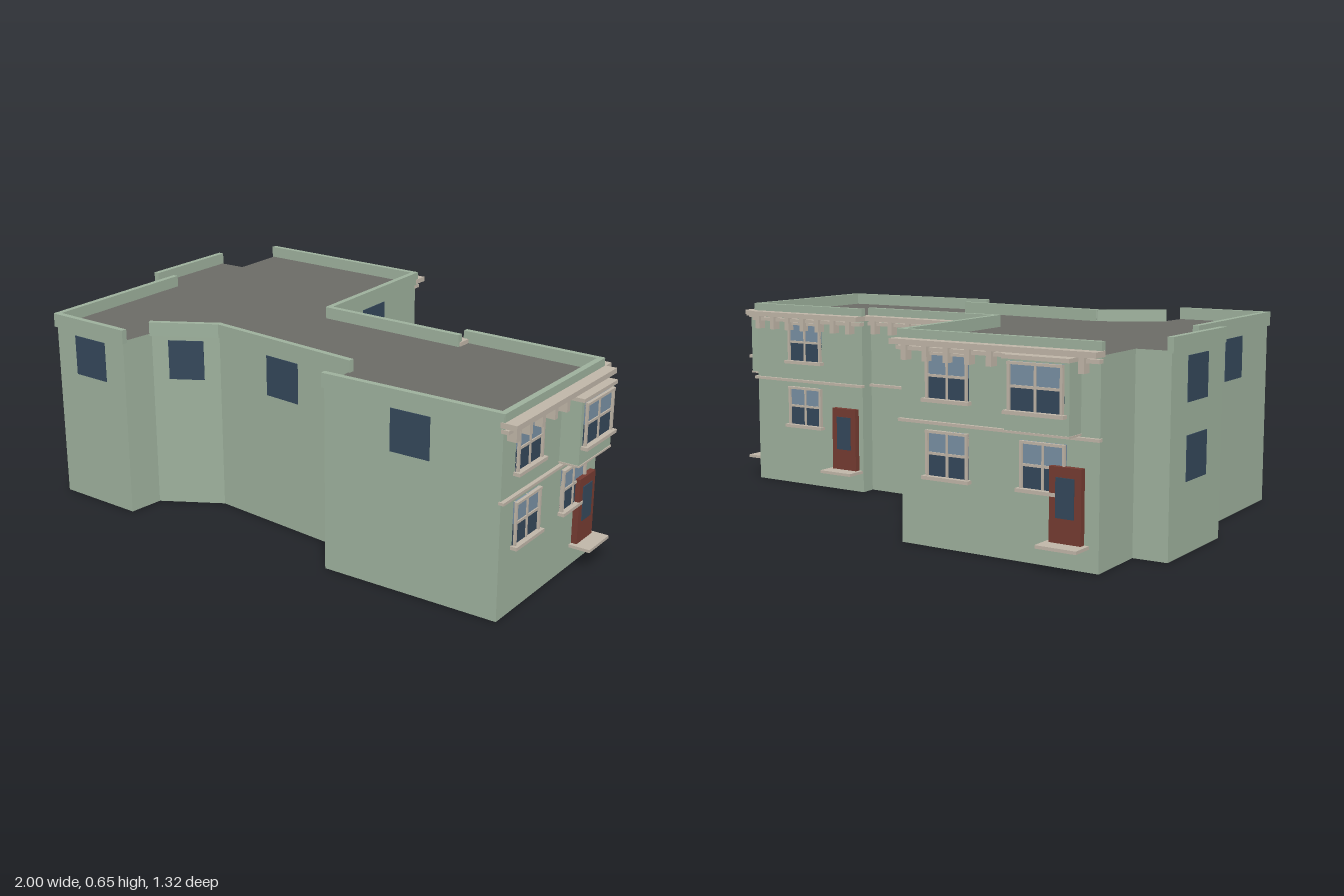
import * as THREE from 'three';

const mat = (color) => new THREE.MeshStandardMaterial({ color });
const M = {
  wall: mat(0x9db09c), roof: mat(0x6b6b66), trim: mat(0xbfb5a7),
  glass: mat(0x34475a), sky: mat(0x788fa2), door: mat(0x743b31),
};
const ROOF = 0.615, TOP = 0.655;

// Footprint corners as [x, z], going round so that each wall runs left to right seen from outside
const P = {
  F: [0.95, 0.34], E: [0.86, -0.255], D2: [0.375, -0.187], D: [0.385, -0.133], C: [-0.14, -0.062],
  B: [-0.24, -0.615], A: [-0.915, -0.522], P: [-0.88, -0.31], O: [-0.99, -0.29], N: [-0.935, 0.068],
  M: [-0.85, 0.055], L: [-0.75, 0.648], K: [-0.435, 0.608], J: [-0.44, 0.485], I: [-0.26, 0.34],
  H: [0.315, 0.305], G: [0.345, 0.445],
};

// Box centred on x, standing on y, with its back on z
function box(parent, name, m, x, y, z, w, h, d) {
  const mesh = new THREE.Mesh(new THREE.BoxGeometry(w, h, d), m);
  mesh.name = name;
  mesh.position.set(x, y + h / 2, z + d / 2);
  parent.add(mesh);
  return mesh;
}

// Group whose x axis runs along a wall from corner a to b, with z pointing outwards
function wallFrame(root, name, a, b) {
  const g = new THREE.Group();
  const dx = b[0] - a[0], dz = b[1] - a[1];
  g.name = name;
  g.position.set(a[0], 0, a[1]);
  g.rotation.y = Math.atan2(-dz, dx);
  g.userData.length = Math.hypot(dx, dz);
  root.add(g);
  return g;
}

// Sash window: lighter upper panes, dark lower panes, frame bars and sill
function sashWindow(parent, x, y, z, w, h) {
  const g = new THREE.Group();
  g.name = 'sashWindow';
  g.position.set(x, y, z);
  parent.add(g);
  const t = 0.008;
  box(g, 'lowerPanes', M.glass, 0, 0, -0.002, w, h / 2, 0.006);
  box(g, 'upperPanes', M.sky, 0, h / 2, -0.002, w, h / 2, 0.006);
  for (const s of [-1, 1]) box(g, 'sideFrame', M.trim, s * (w - t) / 2, 0, -0.002, t, h, 0.014);
  box(g, 'mullion', M.trim, 0, 0, -0.002, 0.007, h, 0.01);
  box(g, 'meetingRail', M.trim, 0, h / 2 - 0.004, -0.002, w, 0.008, 0.01);
  box(g, 'head', M.trim, 0, h - t, -0.002, w, t, 0.016);
  box(g, 'sill', M.trim, 0, -0.009, -0.002, w + 0.018, 0.011, 0.024);
}

// Panelled door with a glass light and a projecting step
function frontDoor(parent, x) {
  const g = new THREE.Group();
  g.name = 'frontDoor';
  g.position.x = x;
  parent.add(g);
  box(g, 'doorLeaf', M.door, 0, 0.077, -0.002, 0.104, 0.22, 0.022);
  box(g, 'doorGlass', M.glass, 0, 0.15, 0.015, 0.06, 0.117, 0.008);
  box(g, 'doorStep', M.trim, 0, 0.067, -0.002, 0.134, 0.01, 0.075);
}

// Projecting upper bay with a wide sash window
function bay(parent, x) {
  const g = new THREE.Group();
  g.name = 'bay';
  g.position.x = x;
  parent.add(g);
  box(g, 'bayBody', M.wall, 0, 0.392, -0.002, 0.212, 0.215, 0.068);
  box(g, 'bayBase', M.trim, 0, 0.388, -0.002, 0.216, 0.006, 0.071);
  box(g, 'bayTopTrim', M.trim, 0, 0.598, -0.002, 0.22, 0.012, 0.078);
  sashWindow(g, 0, 0.452, 0.066, 0.18, 0.14);
}

// Street facade: cornice, brackets, string course, openings
function facade(root, name, a, b, withBay) {
  const g = wallFrame(root, name, a, b);
  const len = g.userData.length;
  box(g, 'cornice', M.trim, len / 2, 0.612, -0.005, len + 0.02, 0.017, 0.053);
  box(g, 'corniceTrim', M.trim, len / 2, 0.594, -0.005, len + 0.01, 0.012, 0.025);
  box(g, 'stringCourse', M.trim, len / 2, 0.376, -0.005, len + 0.01, 0.009, 0.018);
  const n = Math.round(len / 0.075);
  for (let i = 0; i < n; i++) {
    box(g, 'bracket', M.trim, (i + 0.4) * len / n, 0.565, -0.005, 0.018, 0.047, 0.036);
  }
  const x = len * (withBay ? 0.25 : 0.47);
  sashWindow(g, x, 0.452, 0, 0.15, 0.14);
  sashWindow(g, x, 0.218, 0, 0.15, 0.14);
  if (withBay) {
    bay(g, len * 0.755);
    sashWindow(g, len * 0.735, 0.218, 0, 0.15, 0.14);
  }
  frontDoor(g, len * 0.855);
}

export function createModel() {
  const root = new THREE.Group();
  root.name = 'cornerHouse';
  const names = Object.keys(P), pts = names.map((n) => P[n]);

  // Main body with grey flat roof and base
  const shape = new THREE.Shape(pts.map(([x, z]) => new THREE.Vector2(x, -z)));
  const bodyGeo = new THREE.ExtrudeGeometry(shape, { depth: ROOF, bevelEnabled: false });
  bodyGeo.rotateX(-Math.PI / 2);
  const body = new THREE.Mesh(bodyGeo, [M.roof, M.wall]);
  body.name = 'walls';
  root.add(body);

  // Parapets, left open on the short return walls
  const open = ['D2', 'A', 'P', 'N', 'K', 'H'];
  names.forEach((n, i) => {
    if (open.includes(n)) return;
    const g = wallFrame(root, 'parapet', pts[i], pts[(i + 1) % pts.length]);
    const len = g.userData.length;
    box(g, 'parapetWall', M.wall, len / 2, 0.608, -0.012, len + 0.012, TOP - 0.608, 0.02);
  });

  // Street facades
  facade(root, 'eastFacade', P.F, P.E, true);
  facade(root, 'backFacadeOuter', P.E, P.D2, false);
  facade(root, 'backFacadeInner', P.D, P.C, false);
  facade(root, 'backWingFacade', P.B, P.A, true);

  // Plain windows: wall corners, position along the wall, width, two storeys or one
  const plain = [
    ['C', 'B', 0.49, 0.137, true], ['O', 'N', 0.5, 0.14, true], ['M', 'L', 0.5, 0.14, false],
    ['L', 'K', 0.5, 0.14, false], ['J', 'I', 0.5, 0.12, false], ['I', 'H', 0.5, 0.137, false],
    ['G', 'F', 0.5, 0.137, false],
  ];
  // walls listed counter to the round order are turned to face outwards
  for (const [a, b, t, w, two] of plain) {
    const g = wallFrame(root, 'plainWindows', P[a], P[b]);
    for (const y of two ? [0.455, 0.22] : [0.455]) {
      box(g, 'plainWindow', M.glass, g.userData.length * t, y, -0.004, w, 0.137, 0.007);
    }
  }
  return root;
}
